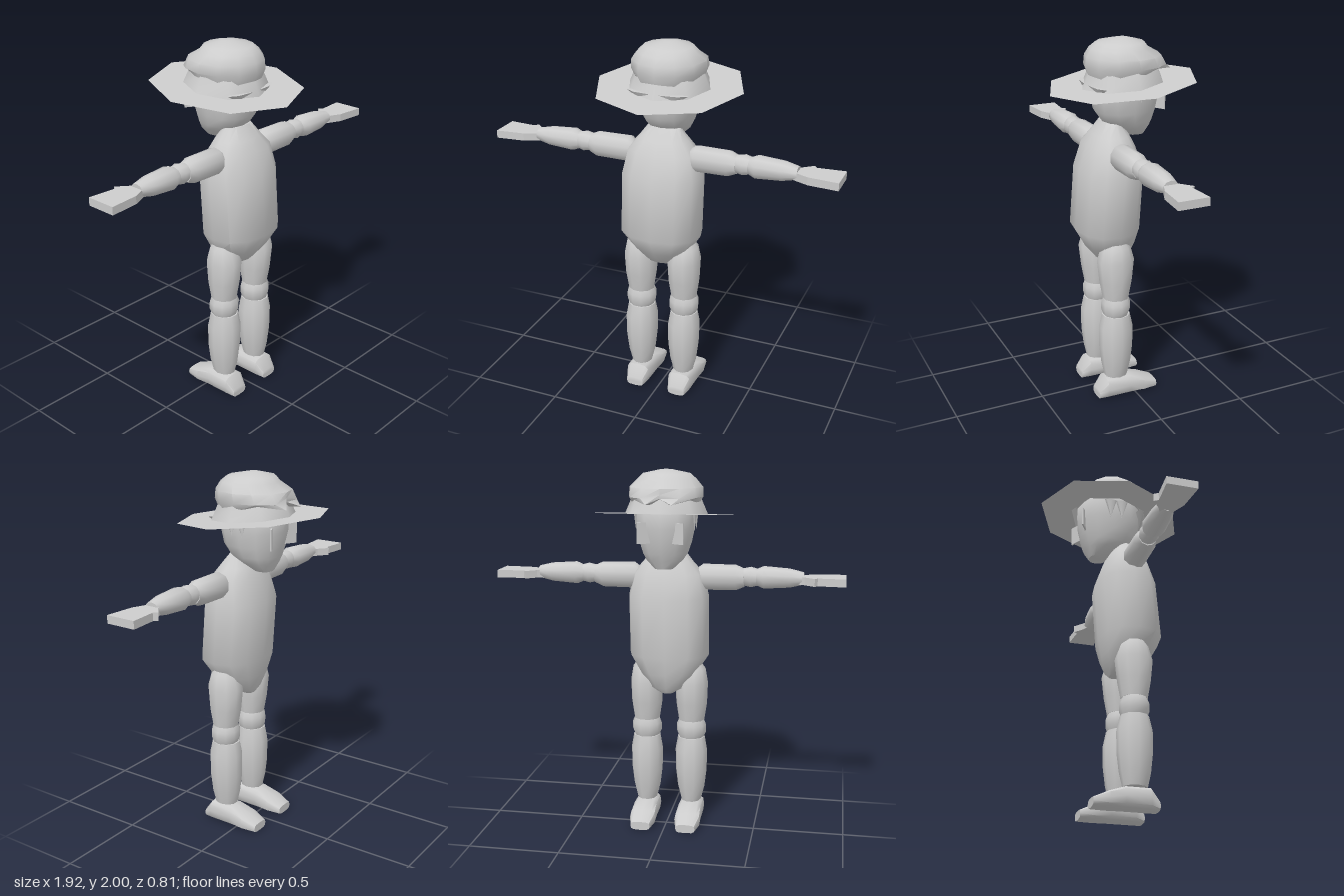
import * as THREE from 'three';
import { toCreasedNormals } from 'three/addons/utils/BufferGeometryUtils.js';

const clay = new THREE.MeshStandardMaterial({ color: 0xcccccc, side: THREE.DoubleSide });
clay.name = 'light grey';

// Skin over rings [y, halfWidth, zMin, zMax], capped at both ends.
function loft(rings, { sides = 12, power = 0.85, shape = null, crease = 0.9 } = {}) {
  const pos = [], index = [];
  const round = v => Math.sign(v) * Math.abs(v) ** power;
  rings.forEach(([y, w, z0, z1], r) => {
    for (let j = 0; j < sides; j++) {
      const a = (j / sides) * Math.PI * 2;
      const p = new THREE.Vector3(w * round(Math.cos(a)), y, (z0 + z1) / 2 + ((z1 - z0) / 2) * round(Math.sin(a)));
      if (shape) shape(p, r, j);
      pos.push(p.x, p.y, p.z);
    }
  });
  const last = rings.length - 1, c = pos.length / 3;
  for (const [y, , z0, z1] of [rings[0], rings[last]]) pos.push(0, y, (z0 + z1) / 2);
  for (let j = 0; j < sides; j++) {
    const k = (j + 1) % sides, t = last * sides;
    index.push(c, j, k, c + 1, t + k, t + j);
    for (let r = 0; r < last; r++) {
      const b = r * sides, u = b + sides;
      index.push(b + j, u + j, b + k, b + k, u + j, u + k);
    }
  }
  const g = new THREE.BufferGeometry();
  g.setAttribute('position', new THREE.Float32BufferAttribute(pos, 3));
  g.setIndex(index);
  return toCreasedNormals(g, crease);
}

// Limb segment from rings [position, halfWidth, halfDepth].
const limb = rings => loft(rings.map(([y, w, d]) => [y, w, -d, d]), { sides: 10, power: 1 });

function add(parent, name, geometry, x = 0, y = 0, z = 0) {
  const m = new THREE.Mesh(geometry, clay);
  m.name = name;
  m.position.set(x, y, z);
  parent.add(m);
  return m;
}

const brimY = z => 1.765 - 0.09 * z;

// Flat tilted octagonal brim with a short rising collar.
function brimGeometry() {
  const g = new THREE.CylinderGeometry(0.185, 0.405, 0.1, 8, 2, true);
  const p = g.attributes.position;
  for (let i = 0; i < p.count; i++) {
    const level = Math.round((p.getY(i) + 0.05) / 0.05);
    const r = [0.405, 0.225, 0.19][level];
    const a = Math.atan2(p.getZ(i), p.getX(i));
    const z = r * Math.sin(a);
    p.setXYZ(i, r * Math.cos(a), brimY(z) + (level === 2 ? 0.08 : 0), z);
  }
  return toCreasedNormals(g, 0.9);
}

function buildArm(group, side) {
  const segments = {
    upperArm: [[0.16, 0.05, 0.05], [0.19, 0.072, 0.066], [0.37, 0.07, 0.064], [0.415, 0.05, 0.05]],
    elbow: [[0.4, 0.045, 0.045], [0.45, 0.056, 0.056], [0.49, 0.046, 0.046]],
    forearm: [[0.48, 0.045, 0.048], [0.52, 0.062, 0.065], [0.66, 0.052, 0.058], [0.735, 0.034, 0.042]],
  };
  for (const [name, rings] of Object.entries(segments)) {
    const m = add(group, name, limb(rings), 0, name === 'upperArm' ? 1.418 : 1.423, 0.093);
    m.rotation.z = -side * Math.PI / 2;
  }
  // Flat mitten with a small thumb corner
  const outline = [[0.69, 0.07], [0.74, 0.045], [0.795, 0], [0.81, 0.022], [0.96, 0.01], [0.96, 0.175], [0.8, 0.16], [0.73, 0.13], [0.69, 0.11]];
  const shape = new THREE.Shape(outline.map(([x, z]) => new THREE.Vector2(side * x, -z)));
  const hand = new THREE.ExtrudeGeometry(shape, { depth: 0.042, bevelEnabled: false });
  add(group, 'hand', hand.rotateX(-Math.PI / 2), 0, 1.394, 0);
}

function buildLeg(group, side) {
  const x = side * 0.128, z = 0.1;
  add(group, 'thigh', limb([[0.6, 0.073, 0.072], [0.7, 0.088, 0.09], [0.82, 0.092, 0.103], [0.9, 0.078, 0.08], [0.945, 0.045, 0.05]]), x, 0, z);
  add(group, 'knee', limb([[0.5, 0.072, 0.07], [0.53, 0.084, 0.08], [0.57, 0.084, 0.08], [0.6, 0.072, 0.07]]), x, 0, z);
  add(group, 'calf', limb([[0.12, 0.057, 0.066], [0.2, 0.077, 0.083], [0.3, 0.089, 0.094], [0.42, 0.091, 0.095], [0.5, 0.077, 0.078]]), x, 0, z);
  // Foot is lofted from heel to toe
  const foot = loft([
    [-0.218, 0.05, 0, 0.05], [-0.17, 0.068, 0, 0.115], [-0.035, 0.07, 0, 0.115],
    [0.05, 0.074, 0, 0.085], [0.132, 0.055, 0, 0.048],
  ], { sides: 12, power: 0.6, crease: 0.8 });
  add(group, 'foot', foot.rotateX(-Math.PI / 2), x, 0, 0);
}

export function createModel() {
  const model = new THREE.Group();
  model.name = 'figure';

  add(model, 'torso', loft([
    [0.77, 0.035, 0, 0.06], [0.8, 0.095, -0.02, 0.16], [0.88, 0.16, -0.045, 0.225],
    [0.98, 0.224, -0.063, 0.28], [1.31, 0.224, -0.085, 0.253], [1.44, 0.195, -0.04, 0.21],
    [1.5, 0.14, -0.015, 0.17], [1.565, 0.09, 0.03, 0.12],
  ]));

  const head = new THREE.Group();
  head.name = 'head';
  model.add(head);
  add(head, 'face', loft([
    [1.483, 0.05, -0.118, -0.02], [1.53, 0.1, -0.14, 0.05], [1.565, 0.122, -0.155, 0.115],
    [1.62, 0.14, -0.172, 0.155], [1.7, 0.157, -0.187, 0.17], [1.8, 0.16, -0.19, 0.17], [1.9, 0.12, -0.12, 0.13],
  ]));

  // Hair: pointed flap behind, spiked sideburns
  const spike = (name, r, h, x, y, z, sx, sz) => {
    const m = add(head, name, new THREE.ConeGeometry(r, h, 8).rotateX(Math.PI), x, y, z);
    m.scale.set(sx, 1, sz);
  };
  spike('hairFlap', 0.17, 0.1, 0, 1.72, 0.165, 1, 0.25);
  for (const side of [1, -1]) {
    for (const z of [0.03, -0.035]) spike('sideburn', 0.035, 0.11, side * 0.158, 1.735, z, 0.35, 1);
    const eye = add(head, 'eye', new THREE.BoxGeometry(0.1, 0.11, 0.008), side * 0.078, 1.68, -0.166);
    eye.rotation.set(0, side * 0.5, 0);
  }

  // Hat: brim and a crown whose lower edge is jagged
  const hat = new THREE.Group();
  hat.name = 'hat';
  model.add(hat);
  add(hat, 'brim', brimGeometry());
  add(hat, 'crown', loft([
    [1.82, 0.18, -0.235, 0.185], [1.86, 0.2, -0.235, 0.208], [1.91, 0.198, -0.205, 0.2],
    [1.95, 0.16, -0.135, 0.175], [1.978, 0.13, -0.115, 0.14], [2.0, 0.03, -0.03, 0.03],
  ], {
    power: 1,
    shape: (p, r, j) => {
      if (r > 1) return;
      if (r === 0) {
        p.y -= 0.13 * p.z;
        if (j === 8 || j === 10) { p.x *= 0.75; p.z -= 0.04; p.y -= 0.015; }
        if (j === 7 || j === 11) p.y += 0.015;
      }
      if (j === 9) { p.z += 0.03; p.y += r ? 0.02 : 0.01; }
    },
  }));

  for (const side of [1, -1]) {
    const arm = new THREE.Group(), leg = new THREE.Group();
    arm.name = side > 0 ? 'leftArm' : 'rightArm';
    leg.name = side > 0 ? 'leftLeg' : 'rightLeg';
    buildArm(arm, side);
    buildLeg(leg, side);
    model.add(arm, leg);
  }
  return model;
}
